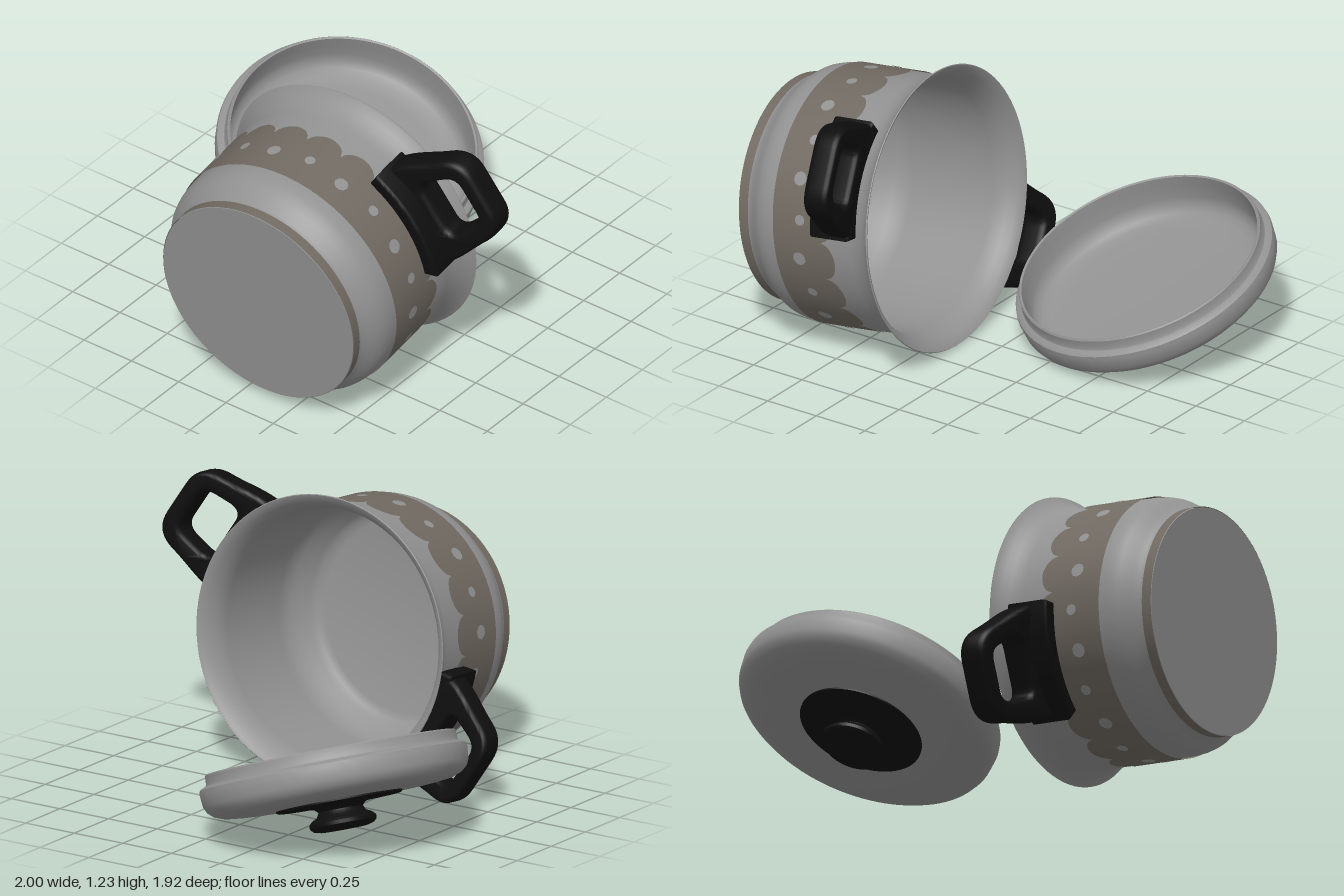
import * as THREE from 'three';
import { toCreasedNormals } from 'three/addons/utils/BufferGeometryUtils.js';

const makeMaterial = (name, color) => {
  const m = new THREE.MeshStandardMaterial({ color, side: THREE.DoubleSide });
  m.name = name;
  return m;
};

export function createModel() {
  const metal = makeMaterial('grey metal', 0x929292);
  const brown = makeMaterial('brown band', 0x716a62);
  const black = makeMaterial('black plastic', 0x0e0e0e);

  const mesh = (name, geometry, material, parent) => {
    const m = new THREE.Mesh(geometry, material);
    m.name = name;
    parent.add(m);
    return m;
  };
  // Turned part from [radius, height] pairs, with sharp edges kept sharp
  const turned = (points, crease = 0.65) => toCreasedNormals(
    new THREE.LatheGeometry(points.map(([r, y]) => new THREE.Vector2(r, y)), 96), crease);
  // Group whose local y axis points along the given direction
  const tilted = (name, axis, position) => {
    const g = new THREE.Group();
    g.name = name;
    g.quaternion.setFromUnitVectors(new THREE.Vector3(0, 1, 0), axis.normalize());
    g.position.copy(position);
    return g;
  };

  const model = new THREE.Group();
  model.name = 'potWithLid';

  // Pot lying on its side, mouth towards +x
  const pot = tilted('pot', new THREE.Vector3(0.72, 0.083, -0.03), new THREE.Vector3(-0.94, 0.53, 0.125));
  model.add(pot);
  mesh('potBody', turned([
    [0, 0], [0.484, 0], [0.484, 0.045], [0.49, 0.06], [0.506, 0.085], [0.525, 0.11], [0.539, 0.135],
    [0.547, 0.165], [0.55, 0.2], [0.552, 0.4], [0.553, 0.6], [0.557, 0.63], [0.567, 0.66],
    [0.583, 0.69], [0.603, 0.715], [0.615, 0.725], [0.612, 0.729], [0.598, 0.722], [0.576, 0.698],
    [0.558, 0.667], [0.546, 0.635], [0.542, 0.6], [0.54, 0.2], [0.536, 0.16], [0.52, 0.12],
    [0.495, 0.085], [0.475, 0.055], [0.455, 0.03], [0.42, 0.02], [0, 0.02],
  ]), metal, pot);
  mesh('baseBand', new THREE.CylinderGeometry(0.487, 0.487, 0.045, 96, 1, true).translate(0, 0.024, 0), brown, pot);

  // Painted band with a scalloped upper edge
  const band = new THREE.CylinderGeometry(0.556, 0.556, 1, 320, 1, true);
  const bp = band.attributes.position;
  for (let i = 0; i < bp.count; i++) {
    const angle = Math.atan2(bp.getX(i), bp.getZ(i));
    bp.setY(i, bp.getY(i) < 0 ? 0.218 : 0.455 + 0.06 * Math.sqrt(Math.abs(Math.sin(angle * 10))));
  }
  mesh('scallopedBand', band, brown, pot);

  // Row of light dots, alternating in size
  for (let i = 0; i < 20; i++) {
    const odd = i % 2;
    const dot = new THREE.CircleGeometry(odd ? 0.024 : 0.031, 10);
    dot.translate(0, odd ? 0.355 : 0.338, 0.5585).rotateY((i + 0.5) * Math.PI / 10);
    mesh('bandDot', dot, metal, pot);
  }

  // Handle loop, drawn outward along x and leaning towards the mouth
  const a = 0.4, r = 0.575;
  const loop = new THREE.Shape();
  loop.moveTo(r * Math.cos(a), -r * Math.sin(a));
  loop.bezierCurveTo(0.63, -0.235, 0.70, -0.20, 0.80, -0.185);
  loop.quadraticCurveTo(0.89, -0.17, 0.89, -0.08);
  loop.lineTo(0.89, 0.08);
  loop.quadraticCurveTo(0.89, 0.17, 0.80, 0.185);
  loop.bezierCurveTo(0.70, 0.20, 0.63, 0.235, r * Math.cos(a), r * Math.sin(a));
  loop.absarc(0, 0, r, a, -a, true);
  const hole = new THREE.Path();
  hole.moveTo(0.63, 0);
  hole.lineTo(0.63, 0.08);
  hole.quadraticCurveTo(0.63, 0.15, 0.70, 0.15);
  hole.lineTo(0.78, 0.14);
  hole.quadraticCurveTo(0.855, 0.13, 0.855, 0.06);
  hole.lineTo(0.855, -0.06);
  hole.quadraticCurveTo(0.855, -0.13, 0.78, -0.14);
  hole.lineTo(0.70, -0.15);
  hole.quadraticCurveTo(0.63, -0.15, 0.63, -0.08);
  hole.closePath();
  loop.holes.push(hole);
  let loopGeo = new THREE.ExtrudeGeometry(loop, {
    depth: 0.06, bevelThickness: 0.03, bevelSize: 0.02, bevelSegments: 4, curveSegments: 10,
  }).translate(0, 0, -0.03).rotateX(-Math.PI / 2);
  const lp = loopGeo.attributes.position;
  for (let i = 0; i < lp.count; i++) lp.setY(i, lp.getY(i) + 0.58 + (lp.getX(i) - 0.57) * 0.2);
  loopGeo = toCreasedNormals(loopGeo, 0.8);

  // Curved plate that fixes the handle to the wall
  const plate = new THREE.Shape();
  plate.absarc(0, 0, 0.603, -0.41, 0.41, false);
  plate.absarc(0, 0, 0.566, 0.41, -0.41, true);
  const plateGeo = toCreasedNormals(new THREE.ExtrudeGeometry(plate, {
    depth: 0.17, bevelThickness: 0.015, bevelSize: 0.015, bevelSegments: 3, curveSegments: 16,
  }).rotateX(-Math.PI / 2).translate(0, 0.455, 0), 0.8);

  for (const turn of [0, Math.PI]) {
    const handle = new THREE.Group();
    handle.name = 'handle';
    handle.rotation.y = -2.086 + turn;
    mesh('handleLoop', loopGeo, black, handle);
    mesh('handlePlate', plateGeo, black, handle);
    pot.add(handle);
  }

  // Lid lying upside down, resting on its knob
  const lid = tilted('lid', new THREE.Vector3(-0.158, 0.93, 0.335), new THREE.Vector3(0.43, 0.3, -0.43));
  model.add(lid);
  mesh('lidShell', turned([
    [0, -0.14], [0.3, -0.138], [0.43, -0.134], [0.49, -0.127], [0.53, -0.112], [0.556, -0.09],
    [0.568, -0.065], [0.573, -0.01], [0.57, 0.006], [0.56, 0.014], [0.543, 0.02], [0.538, 0.03],
    [0.537, 0.064], [0.532, 0.07], [0.524, 0.066], [0.522, 0.02], [0.52, -0.04], [0.512, -0.075],
    [0.49, -0.1], [0.455, -0.113], [0.4, -0.118], [0, -0.12],
  ]), metal, lid);
  mesh('lidKnob', turned([
    [0, -0.262], [0.1, -0.26], [0.13, -0.252], [0.143, -0.238], [0.143, -0.222], [0.13, -0.208],
    [0.105, -0.195], [0.095, -0.175], [0.11, -0.16], [0.15, -0.153], [0.262, -0.15], [0.27, -0.145], [0.27, -0.134],
  ]), black, lid);

  return model;
}
